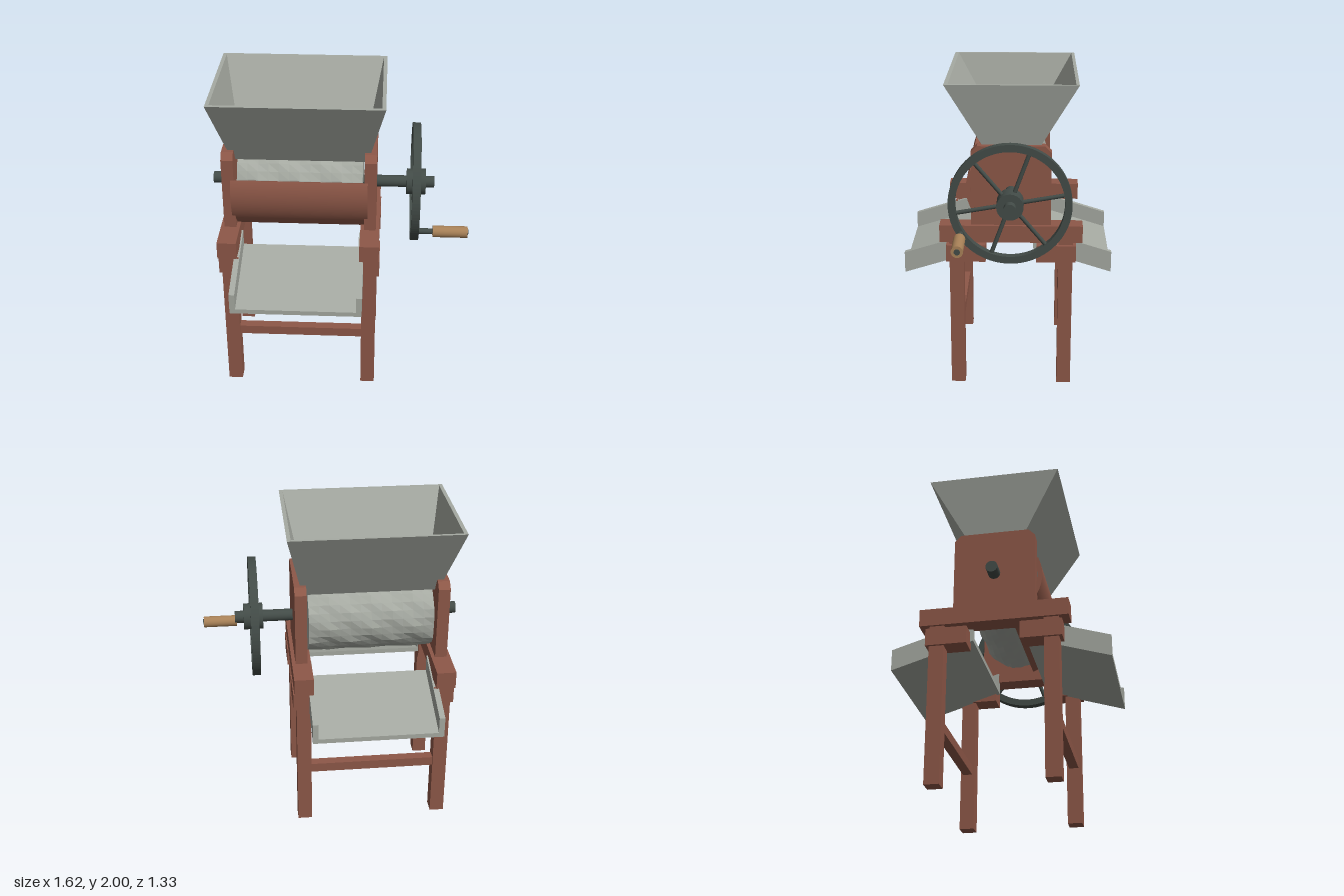
import * as THREE from 'three';

const mat = (color) => new THREE.MeshStandardMaterial({ color });
const wood = mat(0x8e5848), iron = mat(0x434c48), steel = mat(0xa6aaa2), tan = mat(0xa98258);
const drumMat = new THREE.MeshStandardMaterial({ color: 0xa6aaa2, flatShading: true });

const CX = -0.245, CZ = -0.02; // middle of the stand
const AY = 1.32;               // axle height

export function createModel() {
  const root = new THREE.Group();

  const add = (name, geo, material, parent = root) => {
    const mesh = new THREE.Mesh(geo, material);
    mesh.name = name;
    parent.add(mesh);
    return mesh;
  };
  const box = (name, x0, x1, y0, y1, z0, z1, material) =>
    add(name, new THREE.BoxGeometry(x1 - x0, y1 - y0, z1 - z0), material)
      .position.set((x0 + x1) / 2, (y0 + y1) / 2, (z0 + z1) / 2);
  // side outline in (z, y), pulled along x
  const prism = (shape, x0, x1) =>
    new THREE.ExtrudeGeometry(shape, { depth: x1 - x0, bevelEnabled: false, curveSegments: 48 })
      .rotateY(-Math.PI / 2).translate(x1, 0, 0);
  const outline = (pts) => new THREE.Shape(pts.map(([z, y]) => new THREE.Vector2(z, y)));
  // round bar along x
  const rod = (name, r, x0, x1, y, z, material, parent) =>
    add(name, new THREE.CylinderGeometry(r, r, x1 - x0, 24).rotateZ(Math.PI / 2), material, parent)
      .position.set((x0 + x1) / 2, y, z);

  // stand: legs, blocks, beams and side plates
  for (const sx of [-1, 1]) {
    const lx = CX + sx * 0.44;
    for (const sz of [-1, 1]) {
      const lz = CZ + sz * 0.345;
      box('leg', lx - 0.045, lx + 0.045, 0, 1, lz - 0.045, lz + 0.045, wood);
      const bz = CZ + sz * 0.285;
      box('legBlock', lx - 0.06, lx + 0.065, 0.86, 0.97, bz - 0.125, bz + 0.125, wood);
    }
    box('beam', lx - 0.06, lx + 0.06, 0.99, 1.1, CZ - 0.45, CZ + 0.45, wood);
    const plate = outline([
      [-0.27, 1.1], [0.23, 1.1], [0.23, 1.57], [0.19, 1.61], [-0.23, 1.61], [-0.27, 1.57],
    ]);
    add('sidePlate', prism(plate, lx - 0.037, lx + 0.037), wood);
  }
  for (const sz of [-1, 1]) {
    const z = CZ + sz * 0.345;
    box('stretcher', CX - 0.41, CX + 0.41, 0.36, 0.42, z - 0.03, z + 0.03, wood);
  }

  // dimpled drum
  const drum = new THREE.CylinderGeometry(0.23, 0.23, 0.78, 28, 12);
  const p = drum.attributes.position;
  for (let i = 0; i < p.count; i++) {
    const x = p.getX(i), y = p.getY(i), z = p.getZ(i);
    if (Math.hypot(x, z) < 0.01) continue;
    const a = Math.atan2(z, x);
    const k = 1 + 0.03 * Math.sin(7 * a + 0.4) * Math.cos((y / 0.78) * Math.PI * 6);
    p.setXYZ(i, x * k, y, z * k);
  }
  drum.rotateZ(Math.PI / 2).computeVertexNormals();
  add('drum', drum, drumMat).position.set(CX, AY, CZ);

  // curved breast plate in front of the drum
  const breast = new THREE.Shape();
  const a0 = -1.25, a1 = 0.43;
  breast.absarc(CZ, AY, 0.285, a0, a1, false);
  breast.absarc(CZ, AY, 0.255, a1, a0, true);
  add('breastPlate', prism(breast, CX - 0.423, CX + 0.423), wood);

  // hopper: rings run up the outside and down the inside
  const ring = (x0, x1, z0, z1, y) => [[x0, y, z0], [x0, y, z1], [x1, y, z1], [x1, y, z0]];
  const rings = [
    ring(-0.67, 0.175, -0.155, 0.11, 1.52),
    ring(-0.77, 0.28, -0.43, 0.385, 2),
    ring(-0.747, 0.257, -0.41, 0.36, 2),
    ring(-0.65, 0.155, -0.137, 0.092, 1.52),
  ];
  const verts = [];
  rings.forEach((lo, r) => {
    const hi = rings[(r + 1) % 4];
    for (let i = 0; i < 4; i++) {
      const j = (i + 1) % 4;
      for (const v of [lo[i], lo[j], hi[j], lo[i], hi[j], hi[i]]) verts.push(...v);
    }
  });
  const hopper = new THREE.BufferGeometry();
  hopper.setAttribute('position', new THREE.Float32BufferAttribute(verts, 3));
  hopper.computeVertexNormals();
  add('hopper', hopper, steel);

  // sloping chutes, front and back
  const chute = (name, zOut, zIn, yOut) => {
    const rise = 0.31 * Math.abs(zOut - zIn);
    const slab = (h) => {
      const pts = [[zOut, yOut], [zIn, yOut + rise], [zIn, yOut + rise + h], [zOut, yOut + h]];
      return outline(pts);
    };
    const g = new THREE.Group();
    g.name = name;
    root.add(g);
    add('chuteFloor', prism(slab(0.03), -0.62, 0.13), steel, g);
    add('chuteWall', prism(slab(0.135), -0.65, -0.615), steel, g);
    add('chuteWall', prism(slab(0.135), 0.125, 0.16), steel, g);
  };
  chute('frontChute', 0.665, 0.16, 0.745);
  chute('backChute', -0.66, -0.16, 0.76);

  // axle, flywheel and crank
  rod('axle', 0.037, -0.81, 0.595, AY, CZ, iron);
  const wheel = new THREE.Group();
  wheel.name = 'flywheel';
  wheel.position.set(0, AY, CZ);
  root.add(wheel);
  const rim = new THREE.Shape().absarc(0, 0, 0.374, 0, Math.PI * 2, false);
  rim.holes.push(new THREE.Path().absarc(0, 0, 0.33, 0, Math.PI * 2, true));
  add('rim', prism(rim, 0.45, 0.5), iron, wheel);
  rod('hub', 0.082, 0.42, 0.54, 0, 0, iron, wheel);
  for (let i = 0; i < 6; i++) {
    const spoke = new THREE.CylinderGeometry(0.013, 0.013, 0.29, 12).translate(0, 0.195, 0);
    add('spoke', spoke, iron, wheel).position.x = 0.475;
    wheel.children.at(-1).rotation.x = -(20 + i * 60) * Math.PI / 180;
  }
  rod('crankPin', 0.018, 0.48, 0.805, -0.185, 0.3, iron, wheel);
  rod('crankGrip', 0.036, 0.585, 0.8, -0.185, 0.3, tan, wheel);

  return root;
}
